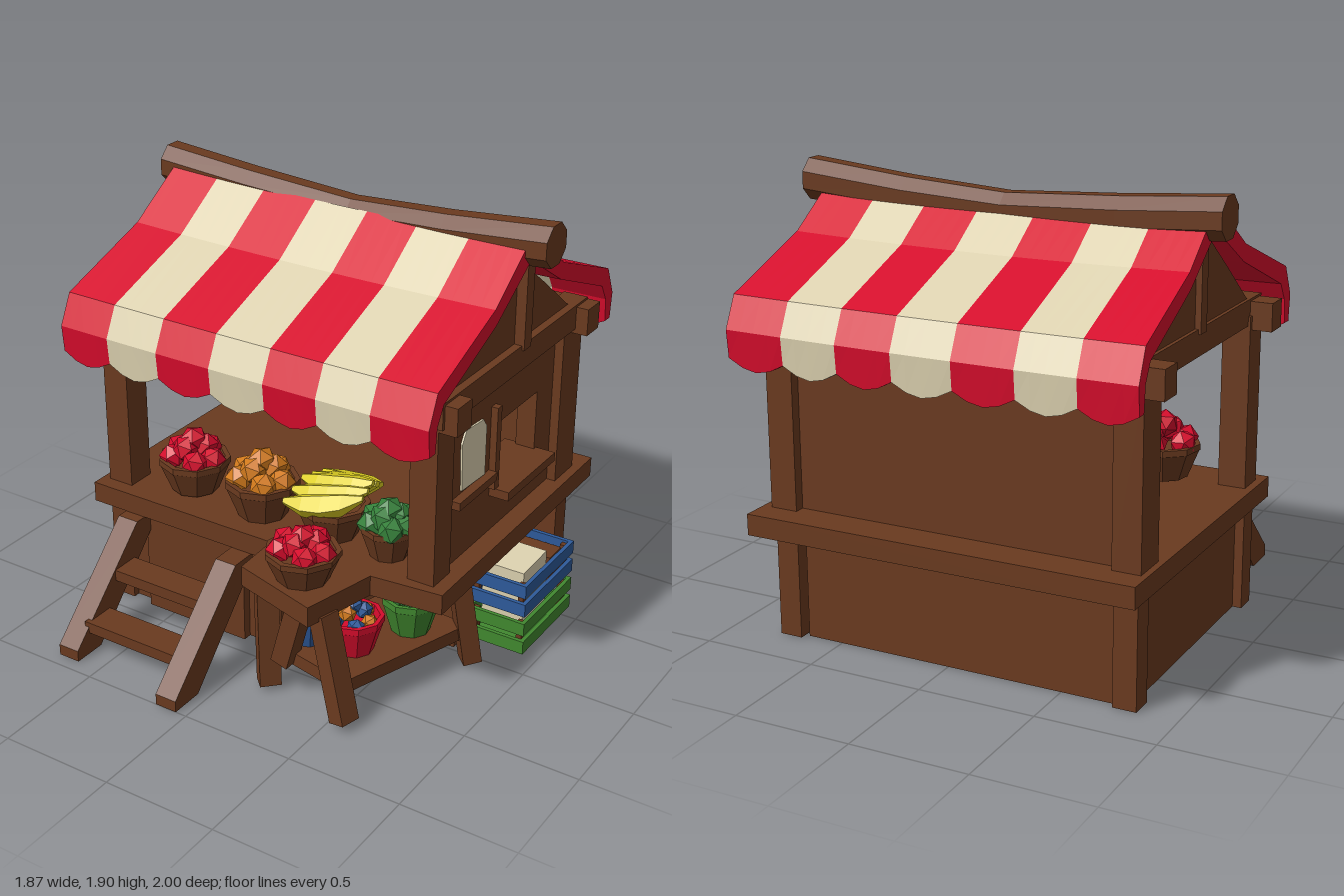
import * as THREE from 'three';

const mat = (name, color) => Object.assign(new THREE.MeshStandardMaterial({ color }), { name });

export function createModel() {
  const root = new THREE.Group();
  root.name = 'marketStall';
  const wood = mat('brown wood', 0x6a3a1f), red = mat('red', 0xd60c2c), cream = mat('cream', 0xddd2b0);
  const orange = mat('orange', 0xd27a1c), yellow = mat('yellow', 0xe0d122);
  const green = mat('leaf green', 0x35803a), lime = mat('crate green', 0x41882f), blue = mat('blue', 0x2e5a9a);

  // Faceted mesh added to a parent
  const add = (name, geo, m, parent = root) => {
    const g = geo.index ? geo.toNonIndexed() : geo;
    g.computeVertexNormals();
    const mesh = new THREE.Mesh(g, m);
    mesh.name = name;
    parent.add(mesh);
    return mesh;
  };
  const group = (name) => {
    const g = new THREE.Group();
    g.name = name;
    root.add(g);
    return g;
  };
  // Box given by its limits on each axis
  const block = (name, m, [x0, x1], [y0, y1], [z0, z1], parent) => {
    const mesh = add(name, new THREE.BoxGeometry(x1 - x0, y1 - y0, z1 - z0), m, parent);
    mesh.position.set((x0 + x1) / 2, (y0 + y1) / 2, (z0 + z1) / 2);
    return mesh;
  };
  // Square timber running between two points
  const beam = (name, p, q, w, h, parent) => {
    const a = new THREE.Vector3(...p), b = new THREE.Vector3(...q);
    const mesh = add(name, new THREE.BoxGeometry(w, h, a.distanceTo(b)), wood, parent);
    mesh.position.copy(a).lerp(b, 0.5);
    mesh.lookAt(b);
    return mesh;
  };
  // Vertical prism from a plan outline of [x, z]
  const prism = (name, m, outline, y0, y1, parent) => {
    const shape = new THREE.Shape(outline.map(([x, z]) => new THREE.Vector2(x, -z)));
    const geo = new THREE.ExtrudeGeometry(shape, { depth: y1 - y0, bevelEnabled: false });
    return add(name, geo.rotateX(-Math.PI / 2).translate(0, y0, 0), m, parent);
  };
  // Closed skin through equal rings of points, turned outward by its volume
  const loft = (rings) => {
    const n = rings[0].length, idx = [];
    const quad = (a, b, c, d) => idx.push(a, b, c, a, c, d);
    for (let r = 0; r + 1 < rings.length; r++)
      for (let i = 0; i < n; i++) {
        const j = (i + 1) % n;
        quad(r * n + i, r * n + j, r * n + n + j, r * n + n + i);
      }
    const last = (rings.length - 1) * n;
    for (let i = 0; i < n / 2 - 1; i++) {
      const k = n - 1 - i;
      quad(i, k, k - 1, i + 1);
      quad(last + i, last + i + 1, last + k - 1, last + k);
    }
    const v = rings.flat().map((p) => new THREE.Vector3(...p));
    let volume = 0;
    for (let i = 0; i < idx.length; i += 3)
      volume += v[idx[i]].dot(v[idx[i + 1]].clone().cross(v[idx[i + 2]]));
    if (volume < 0) idx.reverse();
    const geo = new THREE.BufferGeometry().setFromPoints(v);
    geo.setIndex(idx);
    return geo;
  };
  // Side profile of [z, y] swept between two x values
  const slab = (name, profile, x0, x1, parent) =>
    add(name, loft([x0, x1].map((x) => profile.map(([z, y]) => [x, y, z]))), wood, parent);

  // Base, with its front right corner cut back, and the counter
  prism('base', wood, [[-0.79, 0.38], [0.08, 0.38], [0.34, 0.02], [0.66, -0.02], [0.66, -0.77], [-0.79, -0.77]], 0, 0.49);
  prism('counter', wood, [[-0.88, 0.46], [0.05, 0.46], [0.06, 0.68], [0.45, 0.79], [0.53, 0.46],
    [0.84, 0.43], [0.83, -0.93], [-0.87, -0.92]], 0.47, 0.56);
  for (const [x, z] of [[-0.78, 0.36], [0.02, 0.37], [-0.78, -0.75], [0.73, -0.75]])
    beam('basePost', [x, 0, z], [x, 0.48, z], 0.1, 0.1);

  // Corner posts and eave beams
  for (const [x, z, d] of [[-0.785, 0.33, 0.13], [0.72, 0.33, 0.13], [-0.785, -0.73, 0.16], [0.73, -0.73, 0.17]])
    block('cornerPost', wood, [x - 0.06, x + 0.06], [0.54, 1.3], [z - d / 2, z + d / 2]);
  for (const z of [0.34, -0.77]) beam('eaveBeam', [-0.93, 1.3, z], [0.86, 1.3, z], 0.11, 0.12);
  for (const x of [-0.78, 0.75]) {
    beam('sideBeam', [x, 1.315, -0.82], [x, 1.315, 0.41], 0.11, 0.11);
    // Gable with king post
    const s = Math.sign(x);
    slab('gable', [[0.32, 1.34], [0.06, 1.54], [-0.21, 1.74], [-0.48, 1.54], [-0.74, 1.34]], x - 0.04, x + 0.02);
    beam('kingPost', [x + s * 0.02, 1.35, -0.25], [x + s * 0.02, 1.76, -0.25], 0.09, 0.06);
  }

  // Back wall and inner shelf
  block('backWall', wood, [-0.77, 0.72], [0.5, 1.32], [-0.77, -0.71]);
  block('backShelf', wood, [-0.58, 0.5], [0.81, 0.86], [-0.72, -0.52]);

  // Right wall around the window opening
  const wall = group('rightWall');
  for (const [y, z] of [[[0.54, 1.3], [-0.12, 0.3]], [[0.54, 0.75], [-0.5, -0.12]],
    [[1.04, 1.3], [-0.5, -0.12]], [[0.54, 1.3], [-0.7, -0.5]]])
    block('wallPanel', wood, [0.662, 0.75], y, z, wall);
  block('windowSill', wood, [0.6, 0.84], [0.73, 0.77], [-0.52, -0.1]);
  block('windowJamb', wood, [0.67, 0.78], [0.77, 1.14], [-0.125, -0.09]);
  block('noticeLedge', wood, [0.74, 0.79], [0.82, 0.855], [-0.09, 0.22]);
  // Pale pane on both faces of the wall
  const pane = new THREE.Shape([[-0.04, 0.86], [0.15, 0.87], [0.16, 1.08], [0.13, 1.13], [-0.01, 1.12], [-0.04, 1.08]]
    .map(([z, y]) => new THREE.Vector2(-z, y)));
  for (const x of [0.751, 0.653]) {
    const m = add('pane', new THREE.ExtrudeGeometry(pane, { depth: 0.008, bevelEnabled: false }), cream, wall);
    m.rotation.y = Math.PI / 2;
    m.position.x = x;
  }

  // Sagging ridge log
  const log = [[-0.94, 1.805, 0.092], [-0.5, 1.775, 0.088], [0, 1.755, 0.08], [0.45, 1.775, 0.088], [0.92, 1.815, 0.093]];
  add('ridgeLog', loft(log.map(([x, y, r]) => Array.from({ length: 8 }, (_, i) => {
    const a = (i + 0.5) * Math.PI / 4;
    return [x, y + r * Math.sin(a), -0.245 + 0.01 * x + r * Math.cos(a)];
  }))), wood);

  // Striped awning: one scalloped strip per stripe on each slope
  const edges = [-0.87, -0.64, -0.4, -0.15, 0.1, 0.34, 0.58, 0.83];
  const cloth = [[0.03, 1.83], [0.29, 1.645], [0.725, 1.47], [0.785, 1.34], [0.775, 1.21],
    [0.73, 1.21], [0.72, 1.33], [0.675, 1.405], [0.275, 1.575], [0, 1.75]];
  for (const side of [1, -1]) {
    const awning = group(side > 0 ? 'frontAwning' : 'backAwning');
    for (let s = 0; s < 7; s++) {
      const rings = [0, 0.25, 0.5, 0.75, 1].map((t) => {
        const x = THREE.MathUtils.lerp(edges[s], edges[s + 1], t);
        return cloth.map(([u, y]) => [
          x * (x < 0 ? 1 + 0.05 * u : 1 + 0.015 * u),
          y - (y < 1.3 ? 0.045 * Math.sin(Math.PI * t) - 0.015 : 0) - 0.025 * (1 - x * x) * (1 - u),
          -0.21 + side * u]);
      });
      add('stripe', loft(rings), s % 2 ? cream : red, awning);
    }
  }

  // Front steps
  const steps = group('steps');
  const stringer = [[1, 0], [1, 0.05], [0.57, 0.47], [0.45, 0.47], [0.45, 0.42], [0.85, 0]];
  slab('stringer', stringer.map(([z, y]) => [z - 0.06, y]), -0.71, -0.61, steps);
  slab('stringer', stringer, -0.15, -0.05, steps);
  block('tread', wood, [-0.63, -0.12], [0.1, 0.15], [0.72, 0.86], steps);
  block('tread', wood, [-0.63, -0.12], [0.26, 0.31], [0.54, 0.67], steps);
  block('riser', wood, [-0.63, -0.12], [0, 0.46], [0.38, 0.42], steps);

  // Splayed legs, brace and low shelf under the side counter
  for (const [p, q] of [[[0.45, 0.48, 0.68], [0.57, 0.03, 0.71]], [[0.13, 0.48, 0.61], [0.16, 0.02, 0.64]],
    [[0.32, 0.48, 0.63], [0.23, 0.15, 0.63]], [[0.72, 0.48, 0.09], [0.77, 0.02, 0.04]]])
    beam('splayedLeg', p, q, 0.09, 0.08);
  prism('lowShelf', wood, [[0.17, 0.6], [0.55, 0.68], [0.76, 0.05], [0.34, 0.02]], 0.13, 0.19);

  // Open tub with thick rim, filled by a heap of faceted fruit
  const tub = (name, m, x, y, z, r, h) => {
    const g = group(name);
    g.position.set(x, y, z);
    const profile = [[0, 0], [r * 0.66, 0], [r * 0.97, h * 0.8], [r, h * 0.82], [r, h], [r * 0.85, h], [r * 0.8, h * 0.75], [0, h * 0.75]];
    add('tub', new THREE.LatheGeometry(profile.map((p) => new THREE.Vector2(...p)), 9), m, g);
    return g;
  };
  const heap = (g, name, mats, r, h, size, rise = size) => {
    for (let i = 0; i < 8; i++) {
      const a = i * 2.4, d = i === 7 ? 0 : i > 4 ? r * 0.3 : r * 0.6;
      const f = add(name, new THREE.IcosahedronGeometry(size, 0), mats[i % mats.length], g);
      f.position.set(d * Math.cos(a), h + (i === 7 ? 1.3 : i > 4 ? 0.8 : 0.1) * rise, d * Math.sin(a));
      f.rotation.set(i, i * 2, i * 3);
    }
  };
  heap(tub('appleBasket', wood, -0.48, 0.57, 0.26, 0.155, 0.15), 'apple', [red], 0.155, 0.15, 0.06);
  heap(tub('orangeBasket', wood, -0.12, 0.56, 0.27, 0.16, 0.165), 'orange', [orange], 0.16, 0.165, 0.062);
  heap(tub('frontAppleBasket', wood, 0.31, 0.55, 0.61, 0.155, 0.14), 'apple', [red], 0.155, 0.14, 0.057, 0.04);
  heap(tub('cabbageBasket', wood, 0.5, 0.56, 0.27, 0.12, 0.14), 'cabbage', [green], 0.12, 0.14, 0.062, 0.045);
  heap(tub('redBucket', red, 0.45, 0.19, 0.45, 0.125, 0.16), 'mixedFruit', [orange, blue], 0.125, 0.135, 0.04, 0.055);
  heap(tub('greenBucket', lime, 0.57, 0.19, 0.2, 0.125, 0.165), 'mixedGreens', [green, green, yellow], 0.125, 0.14, 0.045, 0.03);
  heap(tub('blueBucket', blue, 0.26, 0.19, 0.5, 0.1, 0.2), 'plum', [blue], 0.1, 0.18, 0.04, 0.03);

  // Bananas: bent, tapered five sided horns
  const bananas = tub('bananaBasket', wood, 0.22, 0.56, 0.25, 0.155, 0.15);
  for (let b = 0; b < 5; b++) {
    const rings = [0.015, 0.05, 0.06, 0.052, 0.015].map((r, i) => Array.from({ length: 5 }, (_, k) => {
      const t = i / 2 - 1, a = k * Math.PI * 0.4;
      return [0.17 * t, 0.18 + 0.03 * t * t + 0.035 * t + r * Math.sin(a), r * Math.cos(a)];
    }));
    const m = add('banana', loft(rings), yellow, bananas);
    m.position.set(0.02, 0.02 * (2 - Math.abs(b - 2)), (b - 2) * 0.055);
    m.rotation.y = (b - 2) * 0.12;
  }

  // Two stacked slatted crates with a cloth inside
  const crate = (name, m, y0) => {
    const g = group(name);
    for (const y of [y0, y0 + 0.09]) {
      for (const x of [0.655, 0.912]) block('slat', m, [x, x + 0.018], [y, y + 0.06], [-0.58, -0.13], g);
      for (const z of [-0.58, -0.148]) block('slat', m, [0.67, 0.915], [y, y + 0.06], [z, z + 0.018], g);
    }
    for (const x of [0.675, 0.885]) for (const z of [-0.56, -0.175])
      block('cornerPost', wood, [x, x + 0.025], [y0, y0 + 0.14], [z, z + 0.025], g);
    block('floor', m, [0.67, 0.915], [y0, y0 + 0.012], [-0.57, -0.14], g);
  };
  crate('greenCrate', lime, 0);
  crate('blueCrate', blue, 0.185);
  block('foldedCloth', cream, [0.69, 0.885], [0.07, 0.355], [-0.41, -0.2]).rotation.x = 0.04;
  block('crateBoard', wood, [0.7, 0.89], [0.2, 0.31], [-0.54, -0.43]);

  return root;
}
